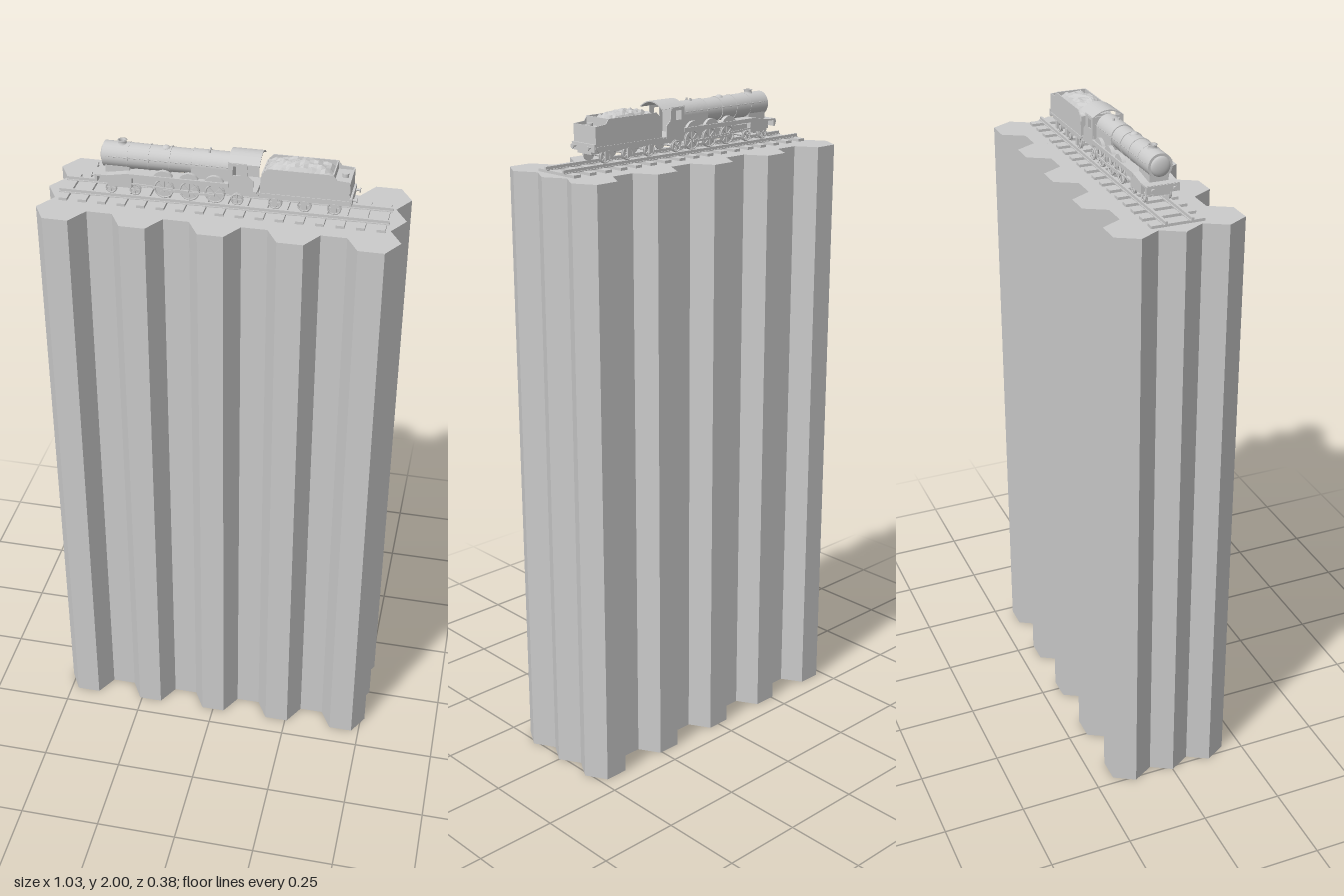
import * as THREE from 'three';

const grey = new THREE.MeshStandardMaterial({ color: 0xcccccc, side: THREE.DoubleSide });
const flat = new THREE.MeshStandardMaterial({ color: 0xcccccc, side: THREE.DoubleSide, flatShading: true });

function add(parent, name, geometry, x = 0, y = 0, z = 0, material = grey) {
  const mesh = new THREE.Mesh(geometry, material);
  mesh.name = name;
  mesh.position.set(x, y, z);
  parent.add(mesh);
  return mesh;
}

// Box given by its extents in x and y, and by its centre and width in z
function box(parent, name, x0, x1, y0, y1, width, z = 0) {
  return add(parent, name, new THREE.BoxGeometry(x1 - x0, y1 - y0, width), (x0 + x1) / 2, (y0 + y1) / 2, z);
}

// Side profile in x and y, extruded across z
function plate(parent, name, points, thickness, z = 0, holes = []) {
  const shape = new THREE.Shape(points.map(p => new THREE.Vector2(...p)));
  for (const h of holes) shape.holes.push(new THREE.Path(h.map(p => new THREE.Vector2(...p))));
  const g = new THREE.ExtrudeGeometry(shape, { depth: thickness, bevelEnabled: false });
  return add(parent, name, g, 0, 0, z - thickness / 2);
}

// Cylinder lying along x
function barrel(parent, name, x0, x1, r0, r1, y, z = 0, seg = 24) {
  const g = new THREE.CylinderGeometry(r0, r1, x1 - x0, seg).rotateZ(Math.PI / 2);
  return add(parent, name, g, (x0 + x1) / 2, y, z);
}

const RAIL = 1.85;

// Pair of spoked wheels on an axle
function wheelSet(parent, name, x, r) {
  const set = new THREE.Group();
  set.name = name;
  set.position.set(x, RAIL + r, 0);
  parent.add(set);
  add(set, 'axle', new THREE.CylinderGeometry(0.004, 0.004, 0.074, 8).rotateX(Math.PI / 2));
  for (const s of [-1, 1]) {
    add(set, 'rim', new THREE.TorusGeometry(r - 0.0025, 0.0025, 6, 24), 0, 0, s * 0.037);
    add(set, 'flange', new THREE.CylinderGeometry(r, r, 0.002, 24).rotateX(Math.PI / 2), 0, 0, s * 0.033);
    for (let i = 0; i < 4; i++) {
      const spoke = add(set, 'spoke', new THREE.BoxGeometry(2 * r - 0.004, 0.002, 0.003), 0, 0, s * 0.037);
      spoke.rotation.z = i * Math.PI / 4;
    }
  }
}

function buildColumns(root) {
  const group = new THREE.Group();
  group.name = 'hexagonalColumns';
  root.add(group);
  const R = 0.0733, a = R * Math.sqrt(3) / 2, top = 1.832;
  const wall = new THREE.CylinderGeometry(R, R, top, 6, 1, true).rotateY(Math.PI / 6 * 3);
  const cap = new THREE.CircleGeometry(R, 6).rotateX(-Math.PI / 2);
  for (let i = -4; i <= 4; i++) {
    const rows = i % 2 === 0 ? [-2, 0, 2] : [-1, 1];
    for (const k of rows) {
      add(group, 'columnWall', wall, i * 1.5 * R, top / 2, k * a, flat);
      add(group, 'columnTop', cap, i * 1.5 * R, top, k * a, flat);
    }
  }
}

function buildTrack(root) {
  const track = new THREE.Group();
  track.name = 'track';
  root.add(track);
  for (let i = 0; i < 17; i++) {
    const x = -0.45 + i * 0.0563;
    box(track, 'sleeper', x - 0.012, x + 0.012, 1.83, 1.84, 0.156);
  }
  for (const s of [-1, 1]) {
    box(track, 'railFoot', -0.47, 0.47, 1.839, 1.842, 0.014, s * 0.038);
    box(track, 'railHead', -0.47, 0.47, 1.842, RAIL, 0.007, s * 0.038);
  }
}

function buffers(parent, x, dir) {
  box(parent, 'bufferBeam', x - 0.004, x + 0.004, 1.886, 1.908, 0.098);
  for (const s of [-1, 1]) {
    const inner = x, outer = x + dir * 0.016;
    barrel(parent, 'bufferStem', Math.min(inner, outer), Math.max(inner, outer), 0.003, 0.003, 1.898, s * 0.032, 10);
    barrel(parent, 'bufferHead', outer - 0.0015, outer + 0.0015, 0.007, 0.007, 1.898, s * 0.032, 14);
  }
}

function buildEngine(root) {
  const engine = new THREE.Group();
  engine.name = 'locomotive';
  root.add(engine);
  const cy = 1.953;

  // Smokebox, boiler and firebox
  barrel(engine, 'smokebox', -0.342, -0.27, 0.036, 0.036, cy);
  barrel(engine, 'boiler', -0.27, -0.085, 0.036, 0.034, cy);
  const door = add(engine, 'smokeboxDoor', new THREE.SphereGeometry(0.029, 20, 6, 0, Math.PI * 2, 0, Math.PI / 2), -0.342, cy, 0);
  door.rotation.z = Math.PI / 2;
  door.scale.y = 0.35;
  for (const x of [-0.27, -0.21, -0.15, -0.087])
    barrel(engine, 'boilerBand', x - 0.002, x + 0.002, 0.0368, 0.0368, cy);
  const fire = new THREE.Shape();
  fire.moveTo(-0.036, 1.9);
  fire.lineTo(-0.036, cy);
  fire.absarc(0, cy, 0.036, Math.PI, 0, true);
  fire.lineTo(0.036, 1.9);
  const fireGeo = new THREE.ExtrudeGeometry(fire, { depth: 0.107, bevelEnabled: false, curveSegments: 20 });
  add(engine, 'firebox', fireGeo.rotateY(Math.PI / 2), -0.087, 0, 0);
  box(engine, 'smokeboxSaddle', -0.335, -0.265, 1.886, 1.93, 0.056);

  // Chimney and dome
  const chimney = [[0.016, -0.006], [0.012, 0], [0.0115, 0.006], [0.014, 0.0085], [0.009, 0.0085], [0.009, -0.004]];
  add(engine, 'chimney', new THREE.LatheGeometry(chimney.map(p => new THREE.Vector2(...p)), 20), -0.29, 1.989, 0);
  const dome = add(engine, 'dome', new THREE.SphereGeometry(0.013, 16, 8), -0.165, 1.984, 0);
  dome.scale.y = 0.7;
  for (const z of [-0.008, 0.008])
    add(engine, 'safetyValve', new THREE.CylinderGeometry(0.003, 0.004, 0.01, 10), -0.04, 1.99, z);

  // Frames, running boards and wheel covers
  box(engine, 'mainFrame', -0.355, 0.1, 1.877, 1.9, 0.05);
  box(engine, 'frontPlatform', -0.36, -0.325, 1.904, 1.909, 0.1);
  const wheels = [-0.165, -0.092, -0.02];
  for (const s of [-1, 1]) {
    box(engine, 'runningBoard', -0.27, 0.022, 1.915, 1.919, 0.034, s * 0.033);
    box(engine, 'valance', -0.27, 0.022, 1.907, 1.917, 0.003, s * 0.048);
    plate(engine, 'slopedBoard', [[-0.327, 1.904], [-0.27, 1.915], [-0.27, 1.919], [-0.327, 1.909]], 0.034, s * 0.033);
    plate(engine, 'cylinderCasing', [[-0.325, 1.876], [-0.255, 1.876], [-0.255, 1.916], [-0.27, 1.917], [-0.325, 1.906]], 0.016, s * 0.04);
    for (const x of wheels) {
      const cover = new THREE.CylinderGeometry(0.03, 0.03, 0.012, 20, 1, false, 0, Math.PI).rotateX(Math.PI / 2).rotateZ(Math.PI / 2);
      add(engine, 'wheelCover', cover, x, 1.905, s * 0.04);
    }
    box(engine, 'couplingRod', wheels[0], wheels[2], 1.873, 1.879, 0.003, s * 0.043);
    const rod = box(engine, 'connectingRod', -0.26, wheels[1], 1.883, 1.887, 0.003, s * 0.046);
    rod.rotation.z = -0.05;
    barrel(engine, 'handrail', -0.33, 0.02, 0.0012, 0.0012, 1.962, s * 0.039, 6);
  }

  // Cab with side windows and curved roof
  const window1 = [[0.033, 1.945], [0.055, 1.945], [0.055, 1.972], [0.033, 1.972]];
  for (const s of [-1, 1])
    plate(engine, 'cabSide', [[0.02, 1.895], [0.09, 1.895], [0.09, 1.932], [0.075, 1.945], [0.072, 1.982], [0.02, 1.982]], 0.003, s * 0.046, [window1]);
  box(engine, 'cabFront', 0.019, 0.023, 1.9, 1.983, 0.092);
  box(engine, 'cabFloor', 0.02, 0.1, 1.895, 1.9, 0.092);
  const roof = new THREE.Shape();
  roof.moveTo(-0.048, 1.98);
  roof.quadraticCurveTo(0, 2.02, 0.048, 1.98);
  roof.lineTo(0.045, 1.979);
  roof.quadraticCurveTo(0, 2.014, -0.045, 1.979);
  const roofGeo = new THREE.ExtrudeGeometry(roof, { depth: 0.088, bevelEnabled: false, curveSegments: 16 });
  add(engine, 'cabRoof', roofGeo.rotateY(Math.PI / 2), 0.02, 0, 0);

  // Wheels
  for (const x of [-0.318, -0.248]) wheelSet(engine, 'leadingWheels', x, 0.017);
  for (const x of wheels) wheelSet(engine, 'drivingWheels', x, 0.029);
  wheelSet(engine, 'trailingWheels', 0.043, 0.018);
  buffers(engine, -0.358, -1);
}

function buildTender(root) {
  const tender = new THREE.Group();
  tender.name = 'tender';
  root.add(tender);
  box(tender, 'tenderFrame', 0.105, 0.36, 1.878, 1.896, 0.06);
  box(tender, 'tenderFloor', 0.105, 0.36, 1.895, 1.901, 0.1);
  box(tender, 'waterTank', 0.115, 0.356, 1.9, 1.95, 0.09);
  for (const s of [-1, 1]) {
    plate(tender, 'tenderSide', [[0.11, 1.9], [0.357, 1.9], [0.357, 1.957], [0.32, 1.96], [0.31, 1.974], [0.13, 1.974], [0.118, 1.962], [0.11, 1.945]], 0.003, s * 0.0465);
    // Axle boxes and outer frame
    plate(tender, 'outerFrame', [[0.115, 1.897], [0.355, 1.897], [0.345, 1.884], [0.125, 1.884]], 0.003, s * 0.044);
    for (const x of [0.15, 0.232, 0.315]) box(tender, 'axleBox', x - 0.007, x + 0.007, 1.862, 1.886, 0.006, s * 0.044);
  }
  box(tender, 'coalBulkhead', 0.308, 0.312, 1.95, 1.974, 0.09);
  box(tender, 'tenderFront', 0.113, 0.117, 1.9, 1.958, 0.09);
  box(tender, 'tenderRear', 0.354, 0.358, 1.9, 1.957, 0.092);
  add(tender, 'waterFiller', new THREE.CylinderGeometry(0.009, 0.009, 0.012, 16), 0.338, 1.955, 0);

  // Lumpy heap of coal
  let seed = 7;
  const rnd = () => (seed = (seed * 16807) % 2147483647) / 2147483647;
  const coal = new THREE.PlaneGeometry(0.19, 0.088, 16, 8).rotateX(-Math.PI / 2);
  const p = coal.attributes.position;
  for (let i = 0; i < p.count; i++) {
    const u = p.getX(i) / 0.095, v = p.getZ(i) / 0.044;
    const heap = (1 - u * u) * (1 - v * v);
    p.setY(i, 0.026 * Math.sqrt(Math.max(heap, 0)) + (heap > 0.01 ? (rnd() - 0.5) * 0.009 : 0));
  }
  coal.computeVertexNormals();
  add(tender, 'coal', coal, 0.213, 1.96, 0, flat);

  for (const x of [0.15, 0.232, 0.315]) wheelSet(tender, 'tenderWheels', x, 0.02);
  buffers(tender, 0.36, 1);
}

export function createModel() {
  const root = new THREE.Group();
  root.name = 'trainOnColumns';
  buildColumns(root);
  buildTrack(root);
  buildEngine(root);
  buildTender(root);
  return root;
}
